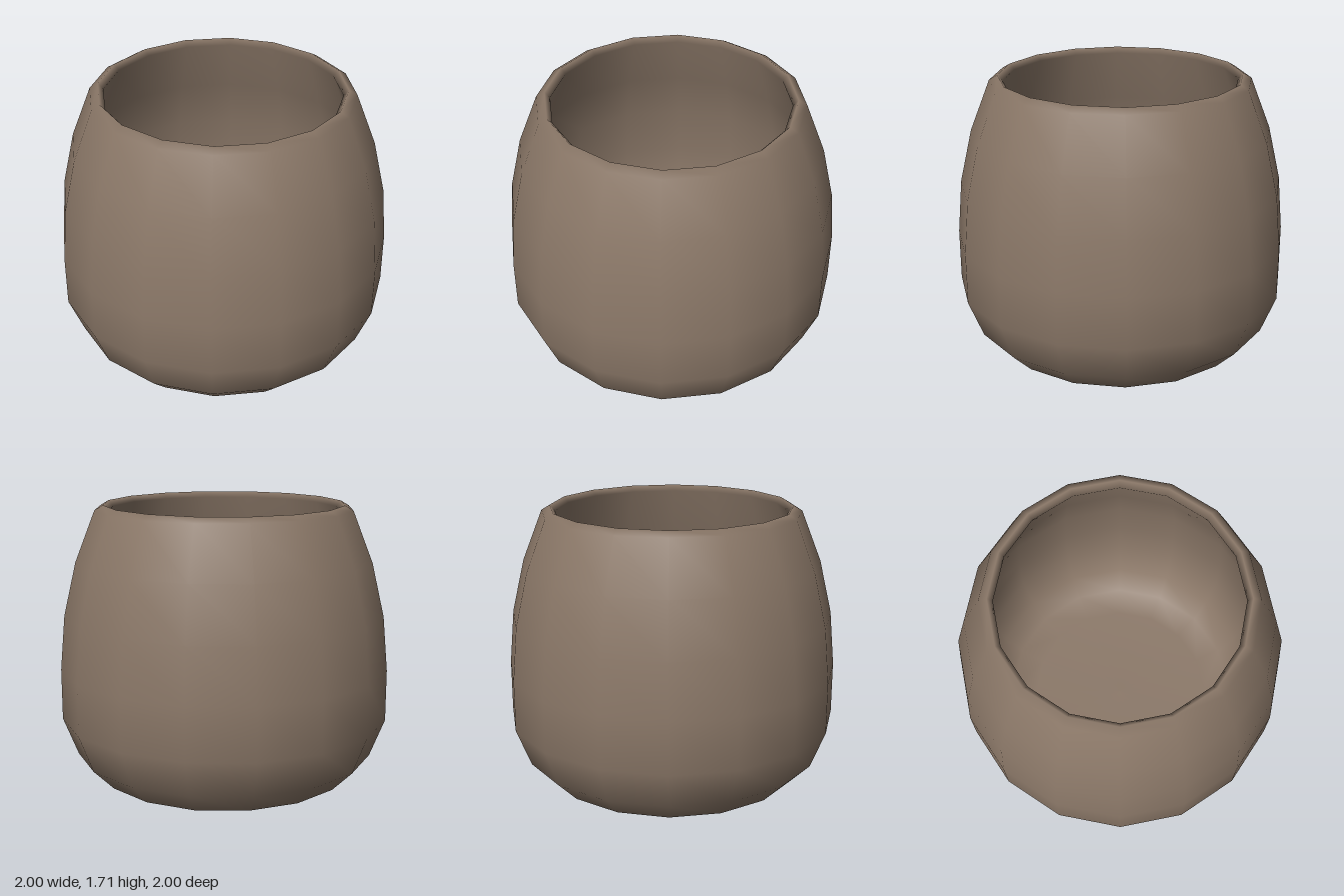
import * as THREE from 'three';

const SIDES = 16;

function lathe(name, profile, material) {
  const points = profile.map(([r, y]) => new THREE.Vector2(r, y));
  const mesh = new THREE.Mesh(new THREE.LatheGeometry(points, SIDES), material);
  mesh.name = name;
  return mesh;
}

export function createModel() {
  const clay = new THREE.MeshStandardMaterial({ color: 0x8b7868 });
  clay.name = 'brown clay';

  const group = new THREE.Group();
  group.name = 'pot';

  // One continuous section: base, outer wall, rounded rim, then hollow inside
  const section = [
    [0, 0], [0.6, 0], [0.78, 0.05], [0.91, 0.18], [1, 0.41], [1, 0.72],
    [0.97, 1.05], [0.895, 1.37], [0.775, 1.675],
    [0.725, 1.705], [0.695, 1.67],
    [0.82, 1.34], [0.89, 1.04], [0.92, 0.72], [0.92, 0.43],
    [0.84, 0.23], [0.73, 0.12], [0.57, 0.08], [0, 0.08],
  ];
  group.add(lathe('potBody', section, clay));
  return group;
}
